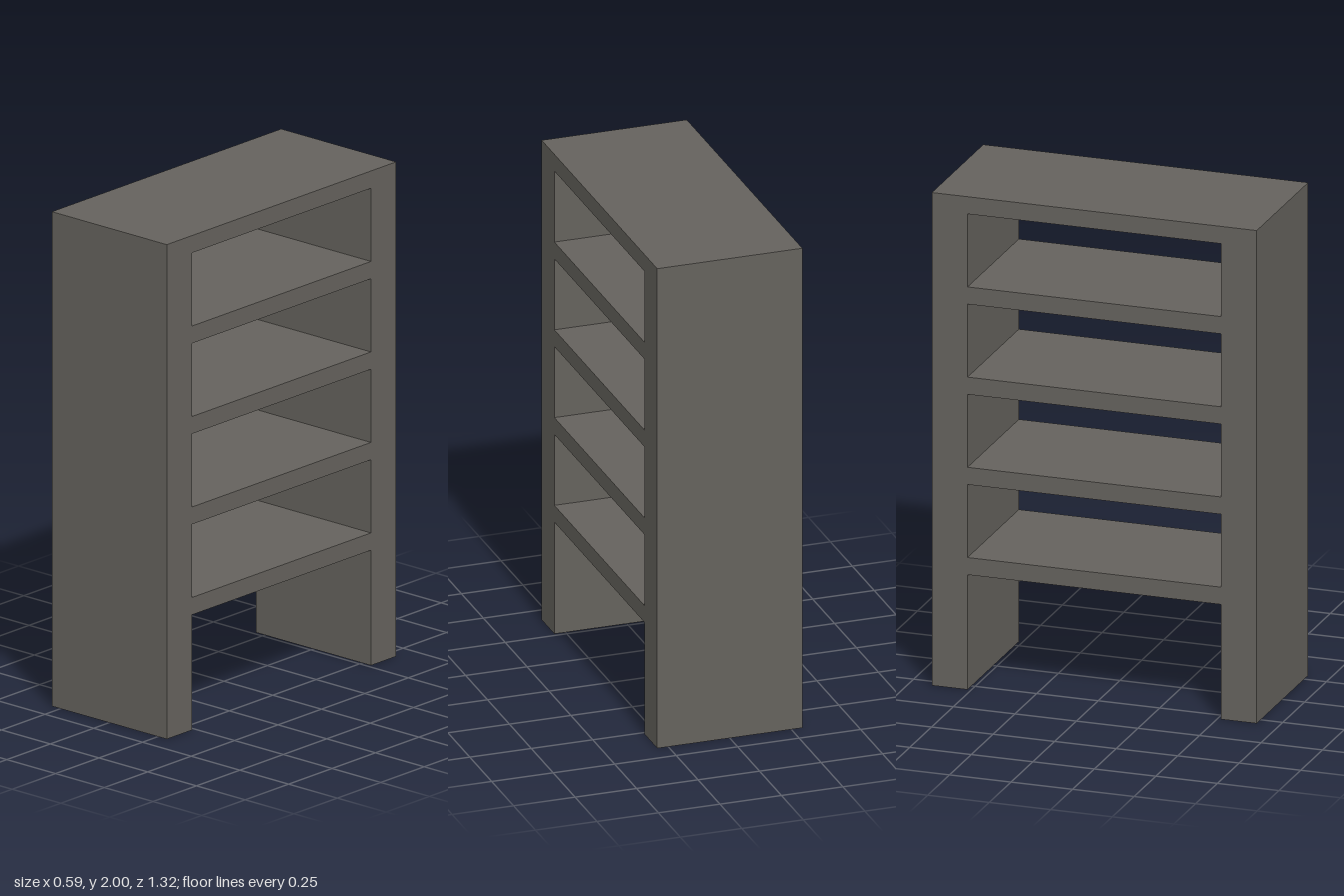
import * as THREE from 'three';

const HEIGHT = 2, WIDTH = 0.59;      // overall height (y) and panel width (x)
const OUTER = 0.66, INNER = 0.515;   // half-lengths along z, outside and inside the uprights
const BOARD = 0.07, PITCH = 0.366;   // shelf thickness and spacing
const SHELVES = 5;                   // including the top board

export function createModel() {
  const group = new THREE.Group();
  group.name = 'shelfUnit';
  const paint = new THREE.MeshStandardMaterial({ color: 0x65625d });
  paint.name = 'warm grey';

  // Side outline: two thick uprights with an open gap under the lowest shelf
  const lowest = HEIGHT - (SHELVES - 1) * PITCH - BOARD;
  const outline = new THREE.Shape([
    [-OUTER, 0], [-INNER, 0], [-INNER, lowest], [INNER, lowest],
    [INNER, 0], [OUTER, 0], [OUTER, HEIGHT], [-OUTER, HEIGHT],
  ].map(([z, y]) => new THREE.Vector2(z, y)));

  // Open bays between neighbouring shelves
  for (let i = 0; i < SHELVES - 1; i++) {
    const top = HEIGHT - BOARD - i * PITCH;
    const bottom = top - (PITCH - BOARD);
    outline.holes.push(new THREE.Path([
      [-INNER, bottom], [-INNER, top], [INNER, top], [INNER, bottom],
    ].map(([z, y]) => new THREE.Vector2(z, y))));
  }

  // Uprights and shelves as one seamless body, extruded across x
  const geometry = new THREE.ExtrudeGeometry(outline, { depth: WIDTH, bevelEnabled: false });
  geometry.translate(0, 0, -WIDTH / 2).rotateY(Math.PI / 2);
  const frame = new THREE.Mesh(geometry, paint);
  frame.name = 'uprightsAndShelves';
  group.add(frame);
  return group;
}
